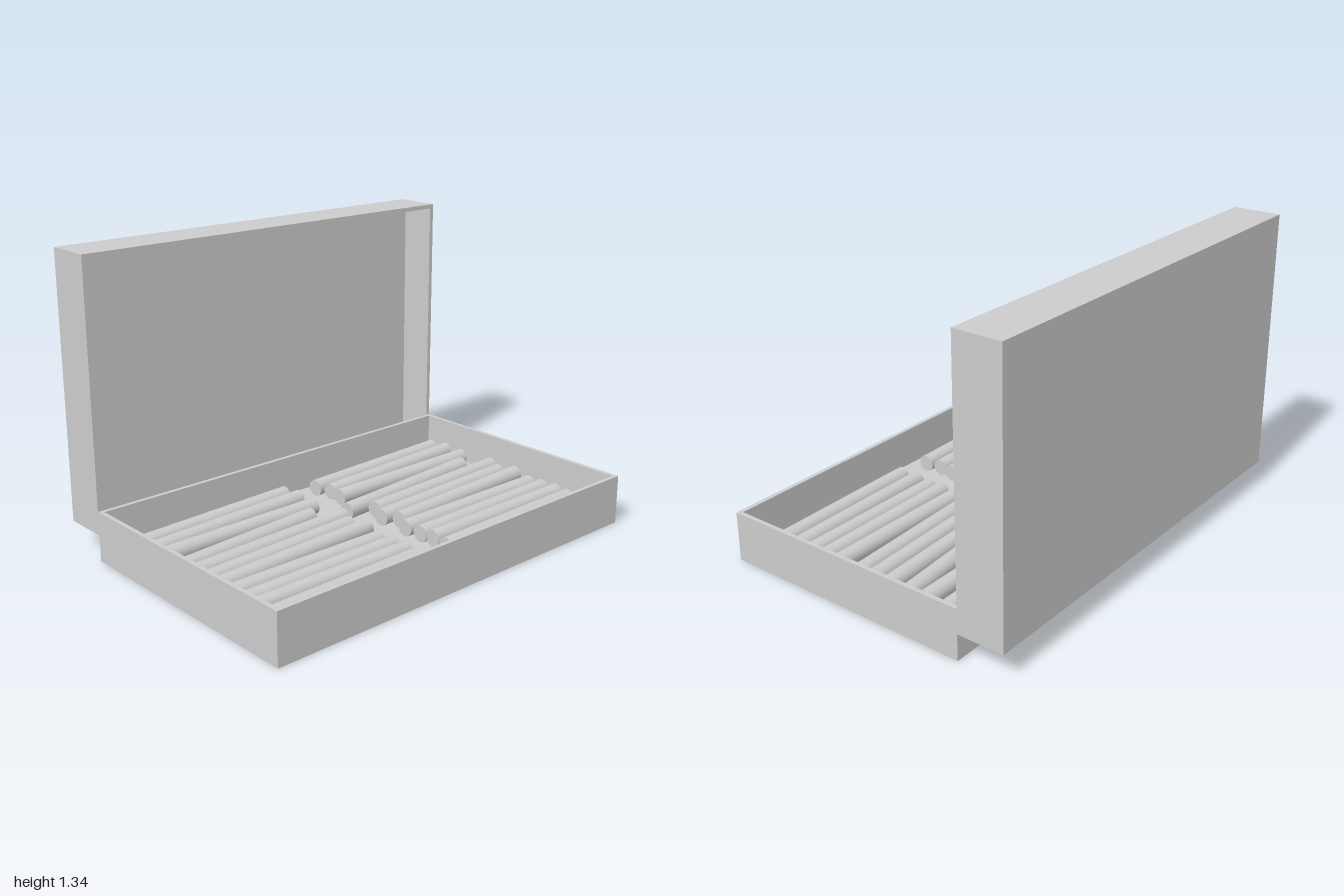
import * as THREE from 'three';

const material = new THREE.MeshStandardMaterial({ color: 0xcccccc });
const WIDTH = 1.22, LENGTH = 2, WALL = 0.02, FLOOR = 0.045;

function addMesh(parent, name, geometry) {
  const mesh = new THREE.Mesh(geometry, material);
  mesh.name = name;
  parent.add(mesh);
  return mesh;
}

function rectangle(Type, w, h) {
  return new Type([[-w, -h], [w, -h], [w, h], [-w, h]].map(([x, y]) => new THREE.Vector2(x / 2, y / 2)));
}

// Open box standing on y = 0: a ring of walls around a floor panel
function openBox(name, height) {
  const box = new THREE.Group();
  box.name = name;
  const w = WIDTH - 2 * WALL, l = LENGTH - 2 * WALL;
  const ring = rectangle(THREE.Shape, WIDTH, LENGTH);
  ring.holes.push(rectangle(THREE.Path, w, l));
  const walls = new THREE.ExtrudeGeometry(ring, { depth: height, bevelEnabled: false });
  addMesh(box, name + 'Walls', walls.rotateX(-Math.PI / 2));
  addMesh(box, name + 'Panel', new THREE.BoxGeometry(w, FLOOR, l)).position.y = FLOOR / 2;
  return box;
}

export function createModel() {
  const model = new THREE.Group();
  model.name = 'openCaseWithRolls';

  const tray = openBox('tray', 0.23);
  tray.position.x = 0.11;
  model.add(tray);

  // Lid: the same box, standing upright and facing the tray
  const lid = openBox('lid', 0.22);
  lid.rotation.z = -Math.PI / 2;
  lid.position.set(-0.72, 0.73, 0);
  model.add(lid);

  // Rolls: x at the back end, x at the front end, z of the middle
  const rolls = [
    [-0.41, -0.375, -0.52], [-0.33, -0.29, -0.54], [-0.21, -0.21, -0.53],
    [-0.125, -0.06, -0.442], [-0.025, 0.01, -0.55], [0.06, 0.095, -0.51],
    [0.135, 0.17, -0.55], [0.265, 0.255, -0.505], [0.34, 0.345, -0.51],
    [0.42, 0.415, -0.515], [0.5, 0.51, -0.5], [0.585, 0.595, -0.508],
  ];
  const radius = 0.039, length = 0.83;
  const rollGeometry = new THREE.CylinderGeometry(radius, radius, length, 32).rotateX(Math.PI / 2);

  // Two identical rows, one behind the other
  [['backRow', 0], ['frontRow', 0.987]].forEach(([name, offset]) => {
    const row = new THREE.Group();
    row.name = name;
    row.position.z = offset;
    rolls.forEach(([xBack, xFront, z], i) => {
      const roll = addMesh(row, 'roll' + (i + 1), rollGeometry);
      roll.position.set((xBack + xFront) / 2, FLOOR + radius, z);
      roll.rotation.y = Math.asin((xFront - xBack) / length);
    });
    model.add(row);
  });
  return model;
}
